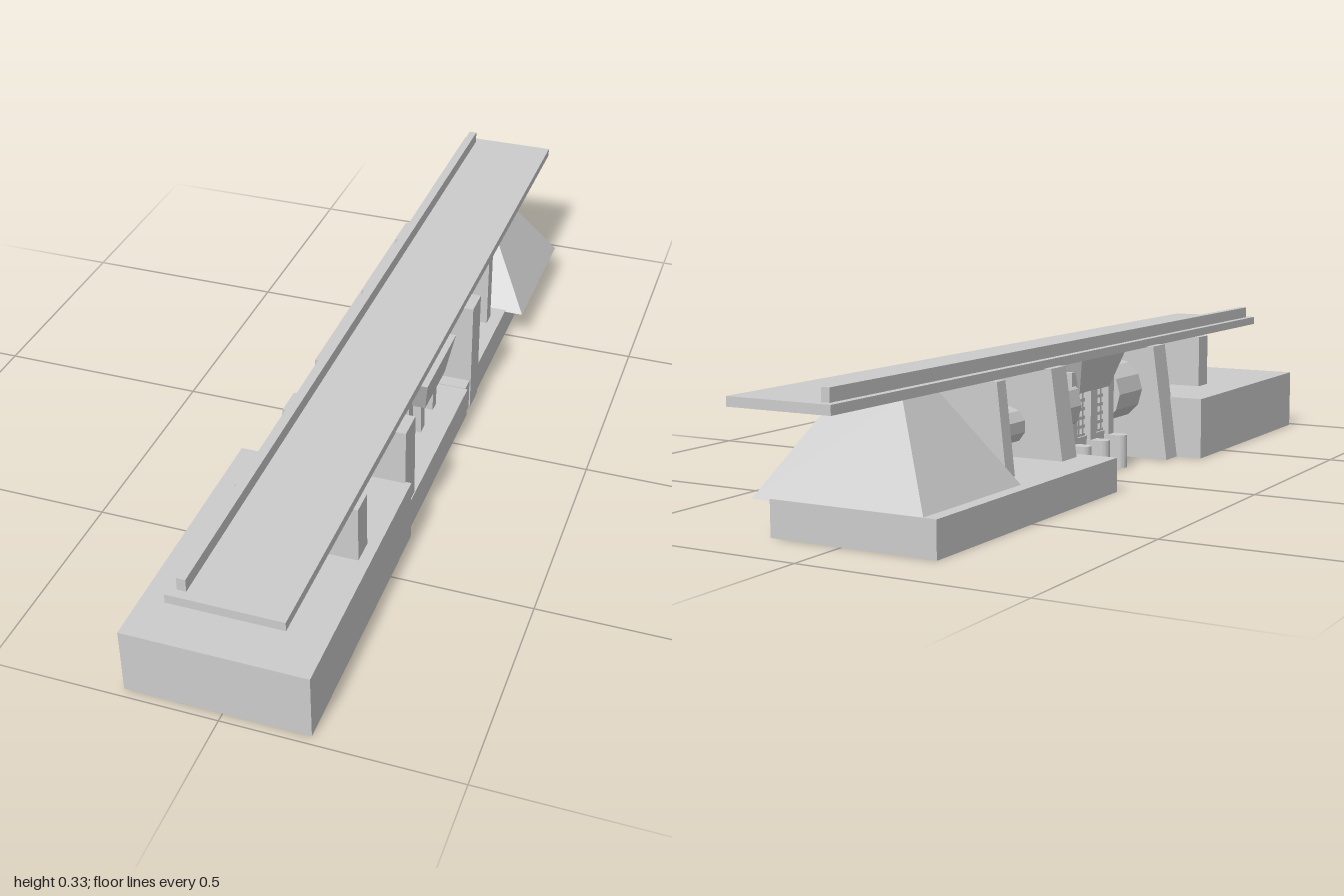
import * as THREE from 'three';

const material = new THREE.MeshStandardMaterial({ color: 0xcccccc, flatShading: true });

export function createModel() {
  const model = new THREE.Group();

  const add = (name, geometry, x = 0, y = 0, z = 0) => {
    const mesh = new THREE.Mesh(geometry, material);
    mesh.name = name;
    mesh.position.set(x, y, z);
    model.add(mesh);
    return mesh;
  };

  // Block between heights y0 and y1; footprints are [x0, x1, z0, z1], the top one may differ
  const block = (name, y0, y1, foot, top = foot) => {
    const g = new THREE.BoxGeometry(1, 1, 1);
    const p = g.attributes.position;
    for (let i = 0; i < p.count; i++) {
      const up = p.getY(i) > 0;
      const f = up ? top : foot;
      p.setXYZ(i, p.getX(i) > 0 ? f[1] : f[0], up ? y1 : y0, p.getZ(i) > 0 ? f[3] : f[2]);
    }
    g.computeVertexNormals();
    return add(name, g);
  };

  // Horizontal cylinder running along z
  const drum = (name, radius, x, y, z0, z1, sides) => {
    const g = new THREE.CylinderGeometry(radius, radius, z1 - z0, sides);
    g.rotateX(Math.PI / 2);
    return add(name, g, x, y, (z0 + z1) / 2);
  };

  // Foundations, with a recess on the right side in the middle
  block('frontAbutment', 0, 0.15, [-0.21, 0.185, 0.36, 0.98]);
  block('rearBase', 0, 0.078, [-0.218, 0.17, -0.857, -0.12]);
  block('middleSill', 0, 0.076, [0.02, 0.175, -0.12, 0.362]);

  // Deck and its raised rail
  block('deck', 0.28, 0.3, [-0.09, 0.15, -1, 1]);
  block('deckRail', 0.3, 0.328, [-0.073, -0.054, -0.98, 0.98]);

  // Battered towers and slimmer deck supports
  for (const [z0, z1] of [[0.298, 0.365], [-0.222, -0.155]]) {
    block('tower', 0, 0.282, [-0.145, 0.173, z0, z1], [-0.106, 0.173, z0, z1]);
  }
  block('rearSupport', 0.07, 0.28, [-0.13, 0.14, -0.455, -0.42], [-0.107, 0.14, -0.455, -0.42]);
  block('frontSupport', 0.15, 0.28, [-0.105, 0.16, 0.58, 0.635]);

  // Hipped rear pier overhanging its base
  block('rearPier', 0.074, 0.28, [-0.19, 0.215, -0.857, -0.493], [-0.062, 0.087, -0.735, -0.612]);

  // Gate drums between the towers and the piers, and the rear pipe
  drum('gateDrum', 0.076, 0, 0.174, 0.175, 0.3, 12);
  drum('gateDrum', 0.076, 0, 0.174, -0.157, -0.022, 12);
  drum('pipe', 0.042, 0, 0.15, -0.62, -0.2, 10);

  // Piers with low rounded noses
  for (const z of [0.16, 0.068, -0.026]) {
    block('pierFoot', 0, 0.08, [-0.085, 0.03, z - 0.017, z + 0.017]);
    add('pierNose', new THREE.CylinderGeometry(0.017, 0.017, 0.08, 12, 1, false, Math.PI, Math.PI), -0.085, 0.04, z);
    block('pier', 0.07, 0.25, [-0.06, 0.12, z - 0.014, z + 0.014]);
  }

  // Hopper-shaped gatehouse beneath the deck
  block('gatehouse', 0.198, 0.281, [-0.06, 0.15, -0.002, 0.15], [-0.085, 0.165, -0.038, 0.185]);

  // Screens of crossed bars in the two openings
  for (const z of [0.114, 0.021]) {
    for (let i = 0; i < 6; i++) {
      const y = 0.092 + i * 0.021;
      block('screenBar', y - 0.004, y + 0.004, [-0.045, -0.03, z - 0.034, z + 0.034]);
    }
    for (const d of [-0.021, 0, 0.021]) {
      block('screenUpright', 0.07, 0.2, [-0.045, -0.035, z + d - 0.004, z + d + 0.004]);
    }
    block('screenSill', 0.03, 0.09, [-0.05, 0.03, z - 0.034, z + 0.034]);
  }

  return model;
}
